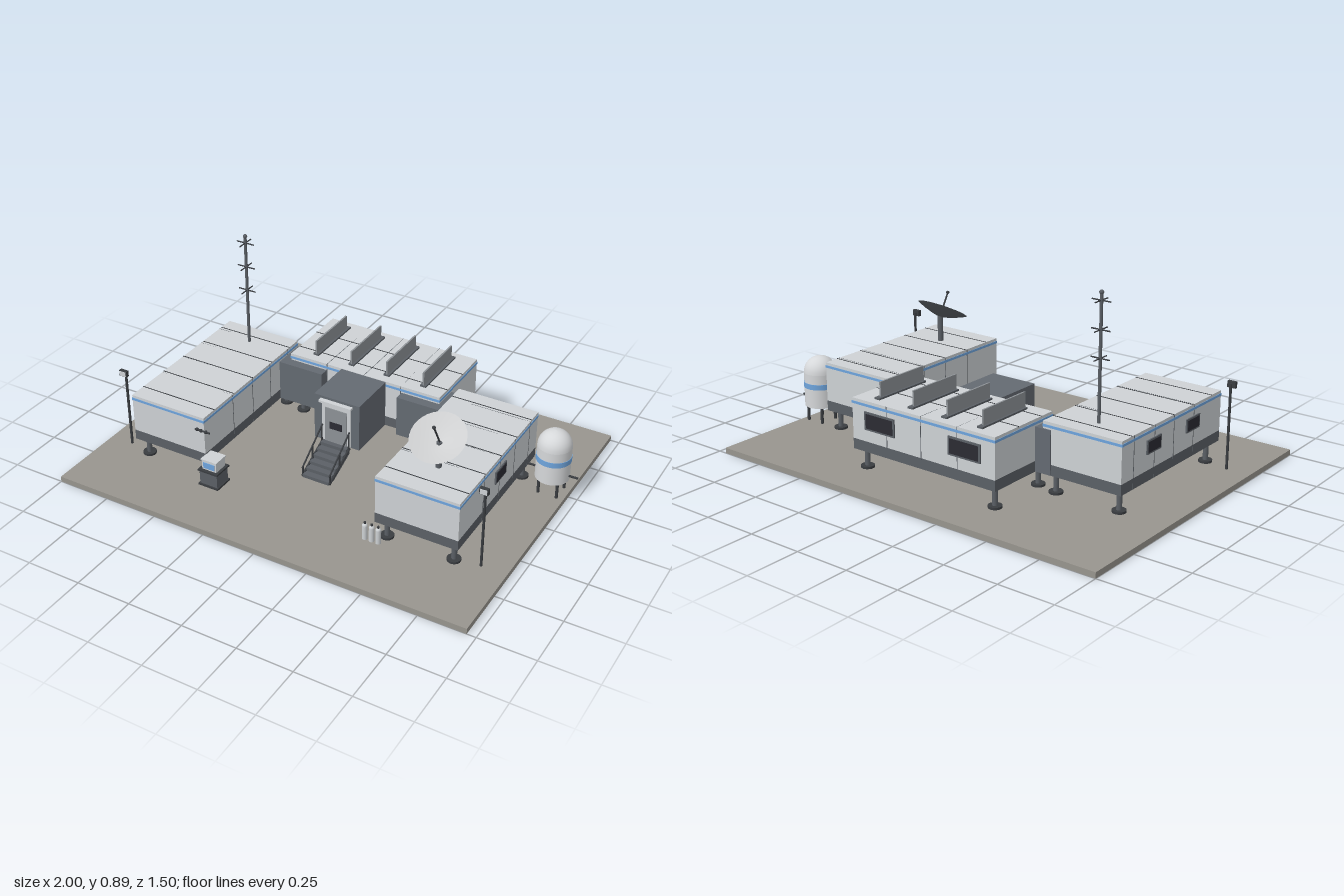
import * as THREE from 'three';

const mat = (name, color, side = THREE.FrontSide) => {
  const m = new THREE.MeshStandardMaterial({ color, side });
  m.name = name;
  return m;
};

export function createModel() {
  const root = new THREE.Group();
  root.name = 'outpost';
  const M = {
    ground: mat('ground', 0x98958e),
    wall: mat('pale panel', 0xced2d5),
    skirt: mat('slate skirt', 0x5b6066),
    link: mat('slate passage', 0x646a72),
    dark: mat('dark metal', 0x3a3d41),
    glass: mat('dark glass', 0x2b2b33),
    blue: mat('blue stripe', 0x6fa5dd),
    dish: mat('dish face', 0xcfd0d1),
    tank: mat('tank shell', 0xd6d8da),
    door: mat('door grey', 0x8d9296),
  };

  const add = (parent, name, geo, material, x = 0, y = 0, z = 0) => {
    const m = new THREE.Mesh(geo, material);
    m.name = name;
    m.position.set(x, y, z);
    parent.add(m);
    return m;
  };
  // box given by its limits on each axis
  const box = (parent, name, material, x0, x1, y0, y1, z0, z1) =>
    add(parent, name, new THREE.BoxGeometry(x1 - x0, y1 - y0, z1 - z0), material,
      (x0 + x1) / 2, (y0 + y1) / 2, (z0 + z1) / 2);
  // round bar between two points
  const rod = (parent, name, material, a, b, r, sides = 8) => {
    const p = new THREE.Vector3(...a), q = new THREE.Vector3(...b);
    const d = q.clone().sub(p);
    const m = add(parent, name, new THREE.CylinderGeometry(r, r, d.length(), sides), material);
    m.position.copy(p).add(q).multiplyScalar(0.5);
    m.quaternion.setFromUnitVectors(new THREE.Vector3(0, 1, 0), d.normalize());
    return m;
  };
  const group = (name) => {
    const g = new THREE.Group();
    g.name = name;
    root.add(g);
    return g;
  };

  const G = 0.025; // top of the ground slab
  box(root, 'groundSlab', M.ground, -1, 0.96, 0, G, -0.75, 0.75);

  // cabin on stilts with skirt, stripe, roof seams and wall seams
  const cabin = (name, x0, x1, z0, z1, roofSeams, alongX, wallSeams) => {
    const g = group(name), e = 0.002;
    box(g, 'skirt', M.skirt, x0, x1, 0.115, 0.162, z0, z1);
    box(g, 'walls', M.wall, x0, x1, 0.162, 0.342, z0, z1);
    box(g, 'stripe', M.blue, x0 - e, x1 + e, 0.318, 0.329, z0 - e, z1 + e);
    for (const z of roofSeams) box(g, 'roofSeam', M.dark, x0, x1, 0.34, 0.3435, z - 0.002, z + 0.002);
    for (const s of wallSeams) {
      if (alongX) box(g, 'wallSeam', M.skirt, s - 0.0015, s + 0.0015, 0.115, 0.342, z0 - 0.001, z1 + 0.001);
      else box(g, 'wallSeam', M.skirt, x0 - 0.001, x1 + 0.001, 0.115, 0.342, s - 0.0015, s + 0.0015);
    }
    for (const x of [x0 + 0.035, x1 - 0.035]) for (const z of [z0 + 0.045, z1 - 0.045]) {
      rod(g, 'stilt', M.skirt, [x, G, z], [x, 0.12, z], 0.012, 10);
      rod(g, 'stiltFoot', M.dark, [x, G, z], [x, G + 0.01, z], 0.03, 14);
    }
    return g;
  };
  const seams = [-0.235, -0.085, 0.07, 0.22, 0.37];
  const rightCabin = cabin('rightCabin', -0.81, -0.435, -0.305, 0.45, seams, false, [-0.22, -0.07, 0.075, 0.23]);
  const leftCabin = cabin('leftCabin', 0.395, 0.77, -0.305, 0.45, seams, false, [-0.22, -0.07, 0.075, 0.23]);
  const rearCabin = cabin('rearCabin', -0.4, 0.355, -0.57, -0.195, [-0.42, -0.27], true, [-0.21, -0.02, 0.165]);

  // windows: frame, pane and mid bar, thin against the wall
  const sideWindow = (g, x, z) => {
    const s = Math.sign(x);
    add(g, 'windowFrame', new THREE.BoxGeometry(0.008, 0.06, 0.104), M.skirt, x, 0.262, z);
    add(g, 'windowPane', new THREE.BoxGeometry(0.003, 0.046, 0.088), M.glass, x + s * 0.004, 0.262, z);
  };
  sideWindow(leftCabin, 0.772, 0.072);
  sideWindow(rightCabin, -0.812, -0.078);
  sideWindow(rightCabin, -0.812, 0.22);
  for (const x of [-0.248, 0.202]) {
    add(rearCabin, 'windowFrame', new THREE.BoxGeometry(0.165, 0.08, 0.008), M.skirt, x, 0.256, -0.572);
    add(rearCabin, 'windowPane', new THREE.BoxGeometry(0.147, 0.064, 0.003), M.glass, x, 0.256, -0.576);
  }

  // upright roof panels on dark rails
  for (const x of [-0.293, -0.11, 0.07, 0.252]) {
    box(rearCabin, 'panelRail', M.skirt, x - 0.014, x + 0.014, 0.342, 0.35, -0.53, -0.237);
    box(rearCabin, 'roofPanel', M.door, x - 0.004, x + 0.004, 0.35, 0.415, -0.51, -0.24);
  }

  // passages joining the cabins
  box(root, 'rightPassage', M.link, -0.475, -0.212, 0.117, 0.31, -0.311, -0.15);
  box(root, 'leftPassage', M.link, 0.17, 0.432, 0.117, 0.31, -0.311, -0.15);

  // entrance porch with framed door
  const porch = group('porch'), cx = -0.022;
  box(porch, 'porchBody', M.link, -0.135, 0.09, 0.115, 0.34, -0.2, 0.04);
  box(porch, 'doorFrame', M.wall, cx - 0.072, cx + 0.072, 0.12, 0.31, 0.036, 0.045);
  box(porch, 'door', M.door, cx - 0.055, cx + 0.055, 0.12, 0.292, 0.04, 0.049);
  box(porch, 'doorWindow', M.glass, cx - 0.03, cx + 0.03, 0.19, 0.225, 0.045, 0.051);
  box(porch, 'doorCanopy', M.wall, cx - 0.08, cx + 0.08, 0.318, 0.328, 0.035, 0.062);

  // stair: stepped outline extruded across its width
  const stair = group('stair'), n = 6, run = 0.185 / n, rise = 0.095 / n;
  const outline = new THREE.Shape();
  outline.moveTo(0.04, 0.085);
  outline.lineTo(0.04, 0.12);
  for (let i = 0; i < n; i++) {
    outline.lineTo(0.04 + run * (i + 1), 0.12 - rise * i);
    outline.lineTo(0.04 + run * (i + 1), 0.12 - rise * (i + 1));
  }
  outline.lineTo(0.175, G);
  const stairGeo = new THREE.ExtrudeGeometry(outline, { depth: 0.13, bevelEnabled: false });
  stairGeo.rotateY(-Math.PI / 2);
  add(stair, 'steps', stairGeo, M.skirt, cx + 0.065, 0, 0);
  for (const s of [-1, 1]) {
    const x = cx + s * 0.068;
    rod(stair, 'handrail', M.dark, [x, 0.2, 0.048], [x, 0.07, 0.222], 0.004);
    rod(stair, 'stringer', M.dark, [x, 0.115, 0.048], [x, 0.03, 0.222], 0.006);
    for (const t of [0.04, 0.5, 0.97]) {
      const z = 0.048 + 0.174 * t;
      rod(stair, 'railPost', M.dark, [x, 0.115 - 0.085 * t, z], [x, 0.2 - 0.13 * t, z], 0.004);
    }
  }

  // antenna mast with crossed arms
  const mast = group('antennaMast'), mx = -0.625, mz = -0.192;
  rod(mast, 'mastPole', M.skirt, [mx, 0.34, mz], [mx, 0.875, mz], 0.007);
  add(mast, 'mastTip', new THREE.SphereGeometry(0.01, 12, 8), M.skirt, mx, 0.878, mz);
  for (const y of [0.61, 0.727, 0.845]) {
    rod(mast, 'crossArm', M.dark, [mx - 0.044, y, mz], [mx + 0.044, y, mz], 0.003, 6);
    rod(mast, 'crossArm', M.dark, [mx, y, mz - 0.044], [mx, y, mz + 0.044], 0.003, 6);
  }

  // satellite dish: shallow cone tipped up and forward
  const dishSet = group('satelliteDish');
  rod(dishSet, 'pedestal', M.skirt, [0.583, 0.34, 0.265], [0.583, 0.462, 0.265], 0.013, 12);
  const dish = new THREE.Group();
  dish.name = 'dish';
  dish.position.set(0.583, 0.456, 0.261);
  dish.rotation.x = 0.515;
  dishSet.add(dish);
  const rim = [[0.0001, 0], [0.04, 0.01], [0.08, 0.024], [0.119, 0.041]].map(p => new THREE.Vector2(...p));
  add(dish, 'dishBack', new THREE.LatheGeometry(rim, 32), M.skirt);
  add(dish, 'dishFace', new THREE.LatheGeometry([...rim].reverse(), 32), M.dish, 0, 0.002, 0);
  rod(dish, 'feedArm', M.dark, [0, 0, 0], [0, 0.122, 0], 0.004);
  add(dish, 'feedHorn', new THREE.SphereGeometry(0.008, 10, 8), M.dark, 0, 0.122, 0);

  // storage tank with domed top, band, legs and pipe
  const tank = group('storageTank'), tx = 0.885, tz = -0.23, r = 0.075;
  const shell = [[0, 0.1], [r, 0.1], [r, 0.1], [r, 0.258], [r, 0.258]].map(p => new THREE.Vector2(...p));
  for (let i = 1; i <= 8; i++) {
    const a = i / 8 * Math.PI / 2;
    shell.push(new THREE.Vector2(Math.max(r * Math.cos(a), 0), 0.258 + 0.074 * Math.sin(a)));
  }
  add(tank, 'tankShell', new THREE.LatheGeometry(shell, 32), M.tank, tx, 0, tz);
  add(tank, 'tankBand', new THREE.CylinderGeometry(r + 0.002, r + 0.002, 0.025, 32), M.blue, tx, 0.202, tz);
  for (let i = 0; i < 4; i++) {
    const a = Math.PI / 4 + i * Math.PI / 2;
    const x = tx + 0.06 * Math.cos(a), z = tz + 0.06 * Math.sin(a);
    rod(tank, 'tankLeg', M.dark, [x, G, z], [x, 0.11, z], 0.007);
  }
  rod(tank, 'tankPipe', M.dark, [0.76, 0.124, tz], [1, 0.124, tz], 0.005);

  // floodlights
  for (const x of [-0.89, 0.845]) {
    const lamp = group('floodlight');
    rod(lamp, 'lampPole', M.dark, [x, G, 0.384], [x, 0.405, 0.384], 0.006);
    box(lamp, 'lampHousing', M.dark, x - 0.019, x + 0.019, 0.386, 0.414, 0.388, 0.404);
    box(lamp, 'lampLens', M.wall, x - 0.015, x + 0.015, 0.389, 0.411, 0.4, 0.407);
  }

  // generator: dark base with a pale glazed upper unit
  const gen = group('generator');
  box(gen, 'generatorFoot', M.dark, -0.448, -0.348, G, 0.034, 0.402, 0.496);
  box(gen, 'generatorBase', M.skirt, -0.442, -0.354, 0.03, 0.1, 0.408, 0.49);
  box(gen, 'generatorLid', M.dark, -0.448, -0.348, 0.098, 0.106, 0.402, 0.496);
  box(gen, 'generatorUnit', M.wall, -0.433, -0.361, 0.106, 0.15, 0.414, 0.482);
  box(gen, 'generatorPanel', M.blue, -0.425, -0.369, 0.114, 0.142, 0.48, 0.485);
  box(gen, 'generatorCap', M.wall, -0.437, -0.357, 0.15, 0.157, 0.41, 0.486);

  // small bracket and nozzle on the front of the right cabin
  const bracket = group('wallBracket');
  rod(bracket, 'bracketArm', M.dark, [-0.475, 0.283, 0.459], [-0.4, 0.283, 0.459], 0.004);
  for (const x of [-0.465, -0.445, -0.42])
    add(bracket, 'bracketKnob', new THREE.SphereGeometry(0.008, 10, 8), M.dark, x, 0.283, 0.459);

  // gas bottles
  for (const x of [0.357, 0.389, 0.42]) {
    const g = group('gasBottle');
    rod(g, 'bottle', M.wall, [x, G, 0.463], [x, 0.09, 0.463], 0.012, 14);
    add(g, 'shoulder', new THREE.SphereGeometry(0.012, 14, 8), M.wall, x, 0.09, 0.463);
    rod(g, 'valve', M.dark, [x, 0.098, 0.463], [x, 0.11, 0.463], 0.005);
  }
  return root;
}
